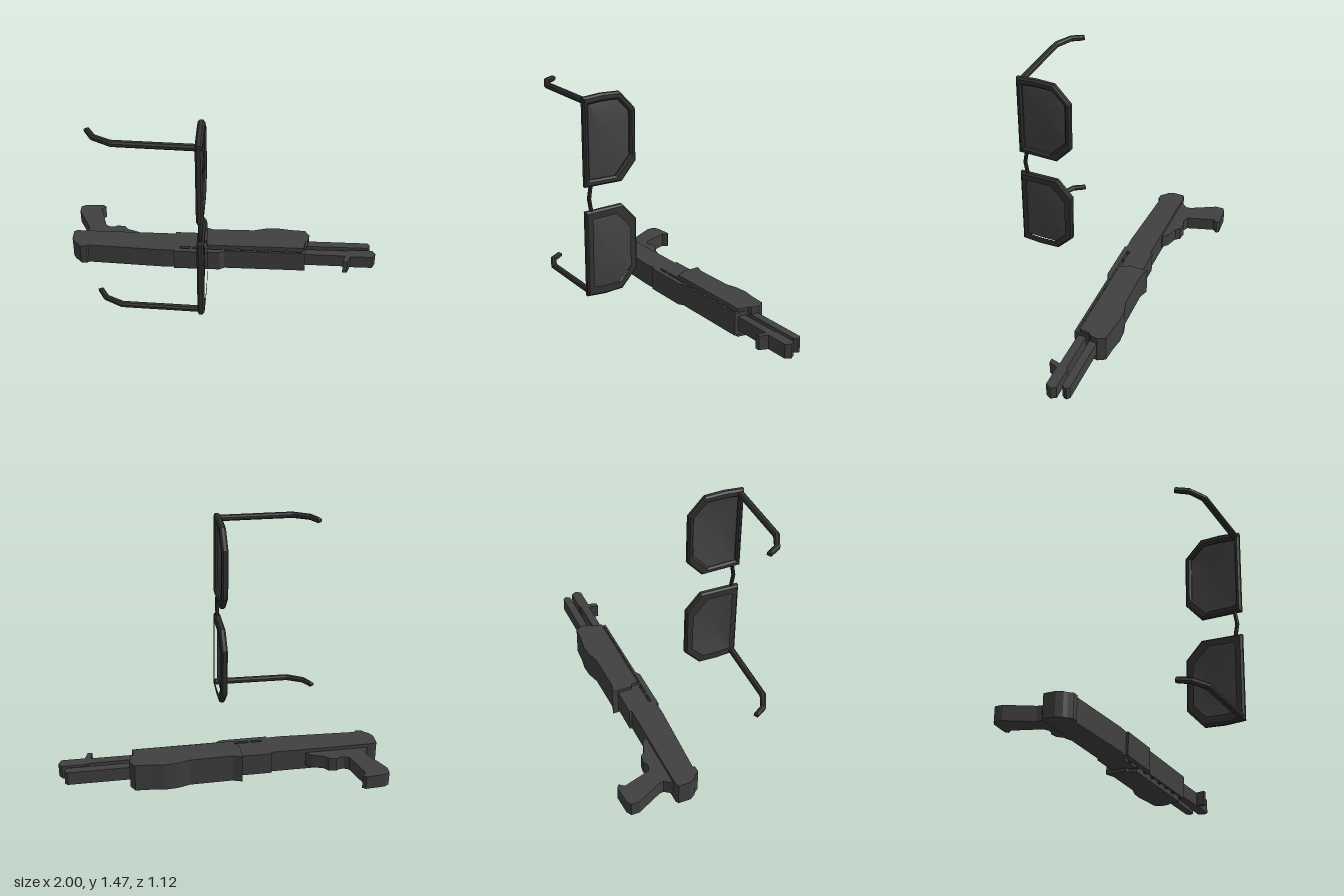
import * as THREE from 'three';

const mat = (color, side = THREE.FrontSide) =>
  new THREE.MeshStandardMaterial({ color, side, flatShading: side === THREE.FrontSide });
const gunMat = mat(0x404040);
const frameMat = mat(0x333333);
const lensMat = mat(0x444444, THREE.DoubleSide);

const toShape = (pts) => new THREE.Shape(pts.map(([a, b]) => new THREE.Vector2(a, b)));

function addMesh(parent, name, geometry, material) {
  const mesh = new THREE.Mesh(geometry, material);
  mesh.name = name;
  parent.add(mesh);
  return mesh;
}

function extrude(shape, thickness, bevel) {
  return new THREE.ExtrudeGeometry(shape, {
    depth: thickness - 2 * bevel, bevelEnabled: bevel > 0, bevelSegments: 1,
    bevelSize: bevel, bevelThickness: bevel, bevelOffset: -bevel,
  }).translate(0, 0, bevel);
}

// Outline in (x, z), raised from y0 to y1
function slab(parent, name, pts, y0, y1, material = gunMat, bevel = 0) {
  const geo = extrude(toShape(pts.map(([x, z]) => [x, -z])), y1 - y0, bevel);
  return addMesh(parent, name, geo.rotateX(-Math.PI / 2).translate(0, y0, 0), material);
}

// Shape in (z, y), thickened from x1 towards -x
function sidePlate(parent, name, shape, x1, thickness, bevel) {
  const geo = extrude(shape, thickness, bevel).rotateY(-Math.PI / 2).translate(x1, 0, 0);
  return addMesh(parent, name, geo, frameMat);
}

const rect = (x0, x1, z0, z1) => [[x0, z0], [x1, z0], [x1, z1], [x0, z1]];

// Domed lens: shrinking rings of the outline, bulging towards +x
function lensGeometry(outline, x, bulge) {
  const cz = 0.4, cy = outline.reduce((s, p) => s + p[1], 0) / outline.length;
  const ringPts = [];
  outline.forEach(([z, y], i) => {
    const [z2, y2] = outline[(i + 1) % outline.length];
    for (let k = 0; k < 4; k++) ringPts.push([z + (z2 - z) * k / 4, y + (y2 - y) * k / 4]);
  });
  const n = ringPts.length, rings = 8, pos = [], idx = [];
  for (let r = 0; r <= rings; r++) {
    const s = 1 - r / rings;
    for (const [z, y] of ringPts) pos.push(x + bulge * (1 - s * s), cy + (y - cy) * s, cz + (z - cz) * s);
  }
  for (let r = 0; r < rings; r++) for (let i = 0; i < n; i++) {
    const a = r * n + i, b = r * n + (i + 1) % n;
    idx.push(a, a + n, b);
    if (r < rings - 1) idx.push(b, a + n, b + n);
  }
  const geo = new THREE.BufferGeometry();
  geo.setAttribute('position', new THREE.Float32BufferAttribute(pos, 3));
  geo.setIndex(idx);
  geo.computeVertexNormals();
  return geo;
}

function buildGun() {
  const gun = new THREE.Group();
  gun.name = 'shotgun';
  // Receiver and butt
  slab(gun, 'receiver', [
    [-1, -0.245], [-0.98, -0.255], [-0.32, -0.255], [-0.32, -0.27], [-0.1, -0.27], [-0.1, -0.125],
    [-0.28, -0.125], [-0.28, -0.09], [-0.4, -0.085], [-0.72, -0.1], [-0.89, -0.108], [-0.9, -0.095],
    [-0.94, -0.095], [-0.96, -0.12], [-0.98, -0.135], [-1, -0.17],
  ], 0.02, 0.165);
  // Pistol grip with trigger guard
  slab(gun, 'grip', [
    [-1, -0.54], [-0.97, -0.558], [-0.85, -0.565], [-0.83, -0.55], [-0.855, -0.52], [-0.8, -0.35],
    [-0.77, -0.335], [-0.74, -0.337], [-0.72, -0.35], [-0.67, -0.342], [-0.65, -0.315], [-0.575, -0.29],
    [-0.54, -0.26], [-0.54, -0.24], [-0.95, -0.24], [-0.94, -0.26], [-0.91, -0.3], [-0.915, -0.33], [-1, -0.49],
  ], 0.05, 0.14);
  // Forend
  slab(gun, 'forend', [
    [-0.13, -0.308], [-0.07, -0.288], [0.09, -0.29], [0.2, -0.292], [0.28, -0.315], [0.36, -0.32],
    [0.44, -0.308], [0.54, -0.302], [0.567, -0.255], [0.557, -0.205], [0.54, -0.19], [0.53, -0.125],
    [-0.1, -0.125], [-0.11, -0.17], [-0.13, -0.178],
  ], 0, 0.185);
  // Ventilated rail
  slab(gun, 'rail', [
    [-0.32, -0.107], [0.54, -0.107], [0.54, -0.094], [0.01, -0.094], [-0.02, -0.075], [-0.32, -0.075],
  ], 0.02, 0.165);
  for (let i = 0; i < 7; i++) {
    const x = -0.205 + i * 0.1035;
    slab(gun, 'railPost', rect(x - 0.008, x + 0.008, -0.13, -0.1), 0.02, 0.165);
  }
  slab(gun, 'railEnd', rect(0.52, 0.54, -0.25, -0.096), 0.02, 0.165);
  // Magazine tube, barrel and front sight
  slab(gun, 'magazineTube', [
    [0.5, -0.25], [0.95, -0.25], [0.967, -0.235], [0.967, -0.22], [0.95, -0.2], [0.5, -0.2],
  ], 0.05, 0.14);
  slab(gun, 'barrel', [
    [0.5, -0.168], [0.82, -0.168], [0.83, -0.177], [0.98, -0.177], [1, -0.145], [0.98, -0.11],
    [0.835, -0.11], [0.815, -0.055], [0.785, -0.055], [0.8, -0.115], [0.5, -0.118],
  ], 0.05, 0.14);
  return gun;
}

function buildGlasses() {
  const glasses = new THREE.Group();
  glasses.name = 'sunglasses';
  const outer = [[0.556, 1.455], [0.43, 1.465], [0.305, 1.46], [0.2, 1.347], [0.2, 1.02], [0.3, 0.908], [0.556, 0.912]];
  const inner = [[0.522, 1.41], [0.43, 1.418], [0.32, 1.415], [0.238, 1.33], [0.238, 1.06], [0.342, 0.948], [0.522, 0.953]];
  const temple = [
    [-0.08, 0.513], [-0.08, 0.552], [-0.58, 0.535], [-0.692, 0.476],
    [-0.738, 0.398], [-0.712, 0.383], [-0.668, 0.452], [-0.572, 0.498],
  ];
  // The pair mirrors about y = 0.835
  for (const upper of [true, false]) {
    const flip = (pts) => (upper ? pts : pts.map(([z, y]) => [z, 1.67 - y]));
    const rim = toShape(flip(outer));
    rim.holes.push(toShape(flip(inner)));
    sidePlate(glasses, 'rim', rim, -0.075, 0.042, 0.011);
    const lens = flip(inner.map(([z, y]) => [0.4 + (z - 0.4) * 1.03, y + (y > 1.2 ? 0.006 : -0.006)]));
    addMesh(glasses, 'lens', lensGeometry(lens, -0.1, 0.02), lensMat);
    const y = upper ? 1.43 : 0.24;
    slab(glasses, 'temple', temple, y - 0.018, y + 0.018, frameMat, 0.01);
  }
  // Bridge
  sidePlate(glasses, 'bridge', toShape([
    [0.519, 0.93], [0.535, 0.835], [0.519, 0.74], [0.498, 0.74], [0.513, 0.835], [0.498, 0.93],
  ]), -0.083, 0.024, 0.006);
  return glasses;
}

export function createModel() {
  const model = new THREE.Group();
  model.name = 'shotgunAndSunglasses';
  model.add(buildGun(), buildGlasses());
  return model;
}
